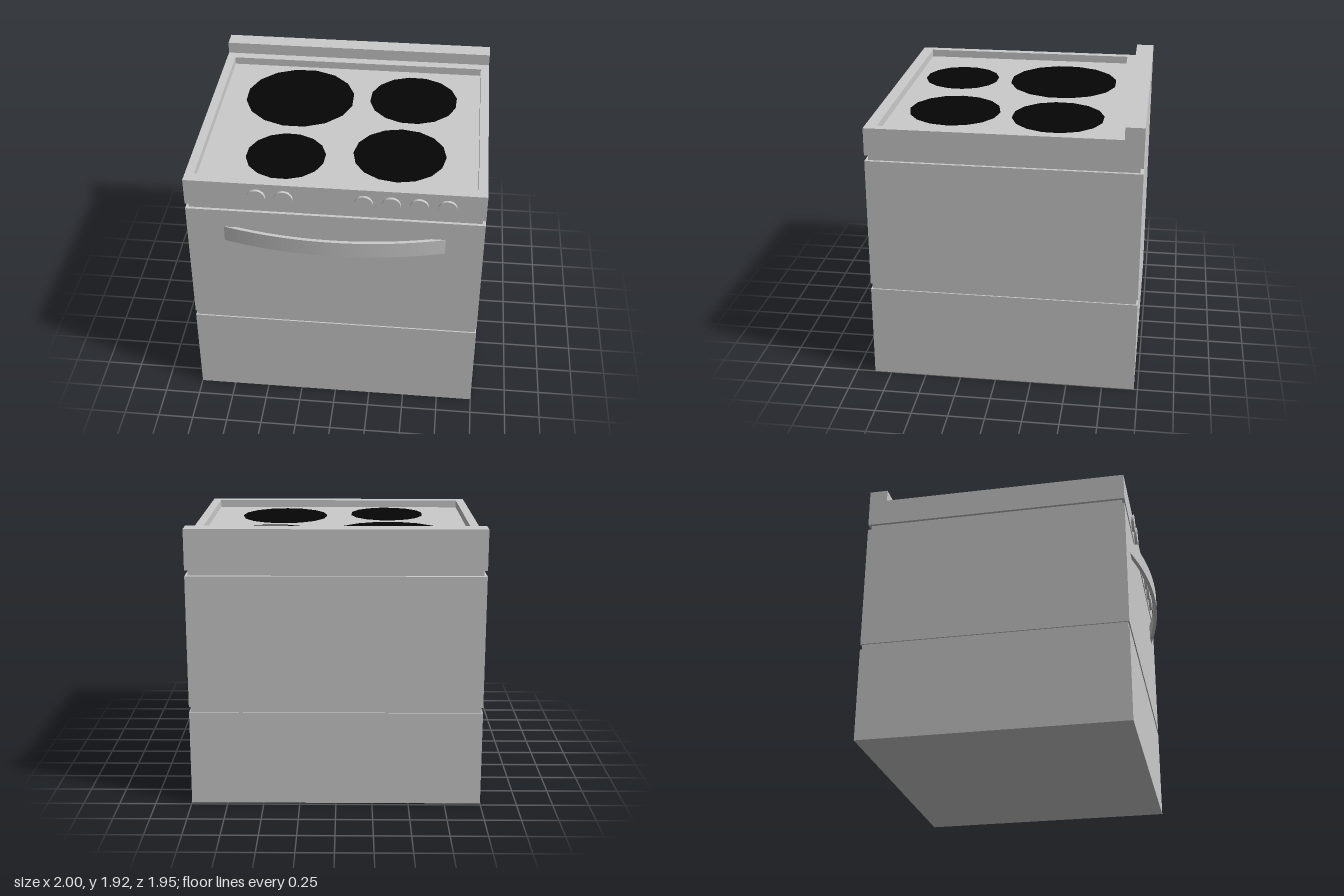
import * as THREE from 'three';

const steel = new THREE.MeshStandardMaterial({ color: 0xcccccc });
const steelFlat = new THREE.MeshStandardMaterial({ color: 0xcccccc, flatShading: true });
const black = new THREE.MeshStandardMaterial({ color: 0x050505, flatShading: true });

const BACK = -0.974, FRONT = 0.87;

export function createModel() {
  const root = new THREE.Group();
  root.name = 'stove';

  function add(name, geometry, material = steelFlat) {
    const mesh = new THREE.Mesh(geometry, material);
    mesh.name = name;
    root.add(mesh);
    return mesh;
  }

  // Full-footprint box between two heights, drawn in by inset on all sides
  function slab(name, y0, y1, inset = 0, z0 = BACK, z1 = FRONT) {
    const geo = new THREE.BoxGeometry(2 - 2 * inset, y1 - y0, z1 - z0 - 2 * inset);
    add(name, geo).position.set(0, (y0 + y1) / 2, (z0 + z1) / 2);
  }

  // Stacked body with recessed seams
  slab('drawer', 0, 0.66);
  slab('lowerSeam', 0.66, 0.70, 0.01);
  slab('ovenBody', 0.70, 1.61);
  slab('upperSeam', 1.61, 1.65, 0.021);
  slab('splashback', 1.84, 1.925, 0, BACK, -0.845);

  // Cooktop frame: rectangle with a rectangular opening (shape y becomes -z)
  const rect = (path, x, z0, z1) => path
    .moveTo(-x, -z1).lineTo(x, -z1).lineTo(x, -z0).lineTo(-x, -z0).closePath();
  const outline = new THREE.Shape();
  rect(outline, 1, BACK, FRONT);
  const opening = new THREE.Path();
  rect(opening, 0.938, -0.775, 0.79);
  outline.holes.push(opening);
  const frame = new THREE.ExtrudeGeometry(outline, { depth: 0.19, bevelEnabled: false });
  frame.rotateX(-Math.PI / 2);
  add('cooktopFrame', frame).position.y = 1.65;

  // Sunken cooktop surface
  const floor = new THREE.BoxGeometry(1.876, 0.135, 1.565);
  add('cooktopSurface', floor).position.set(0, 1.7175, 0.0075);

  // Hotplates: x, z, radius, turn
  const plates = [
    [-0.375, -0.325, 0.396, 0.2],
    [0.455, -0.365, 0.318, 0.15],
    [-0.375, 0.445, 0.273, 0.15],
    [0.40, 0.363, 0.318, 0],
  ];
  for (const [x, z, r, turn] of plates) {
    const plate = add('hotplate', new THREE.CylinderGeometry(r, r, 0.01, 16), black);
    plate.position.set(x, 1.788, z);
    plate.rotation.y = turn;
  }

  // Control knobs
  const knobGeo = new THREE.CylinderGeometry(0.063, 0.063, 0.04, 32);
  knobGeo.rotateX(Math.PI / 2);
  for (const x of [-0.516, -0.334, 0.195, 0.377, 0.56, 0.746]) {
    add('knob', knobGeo, steel).position.set(x, 1.735, 0.87);
  }

  // Bowed door handle: thin arc band whose ends sink into the door
  const R = 2.73, thickness = 0.025, half = Math.asin(0.76 / R);
  const band = new THREE.Shape();
  band.absarc(0, 0, R, -Math.PI / 2 - half, -Math.PI / 2 + half, false);
  band.absarc(0, 0, R - thickness, -Math.PI / 2 + half, -Math.PI / 2 - half, true);
  band.closePath();
  const handle = new THREE.ExtrudeGeometry(band, {
    depth: 0.115, bevelEnabled: false, curveSegments: 20,
  });
  handle.rotateX(-Math.PI / 2);
  add('doorHandle', handle, steel).position.set(0, 1.36, 0.974 - R);

  return root;
}
